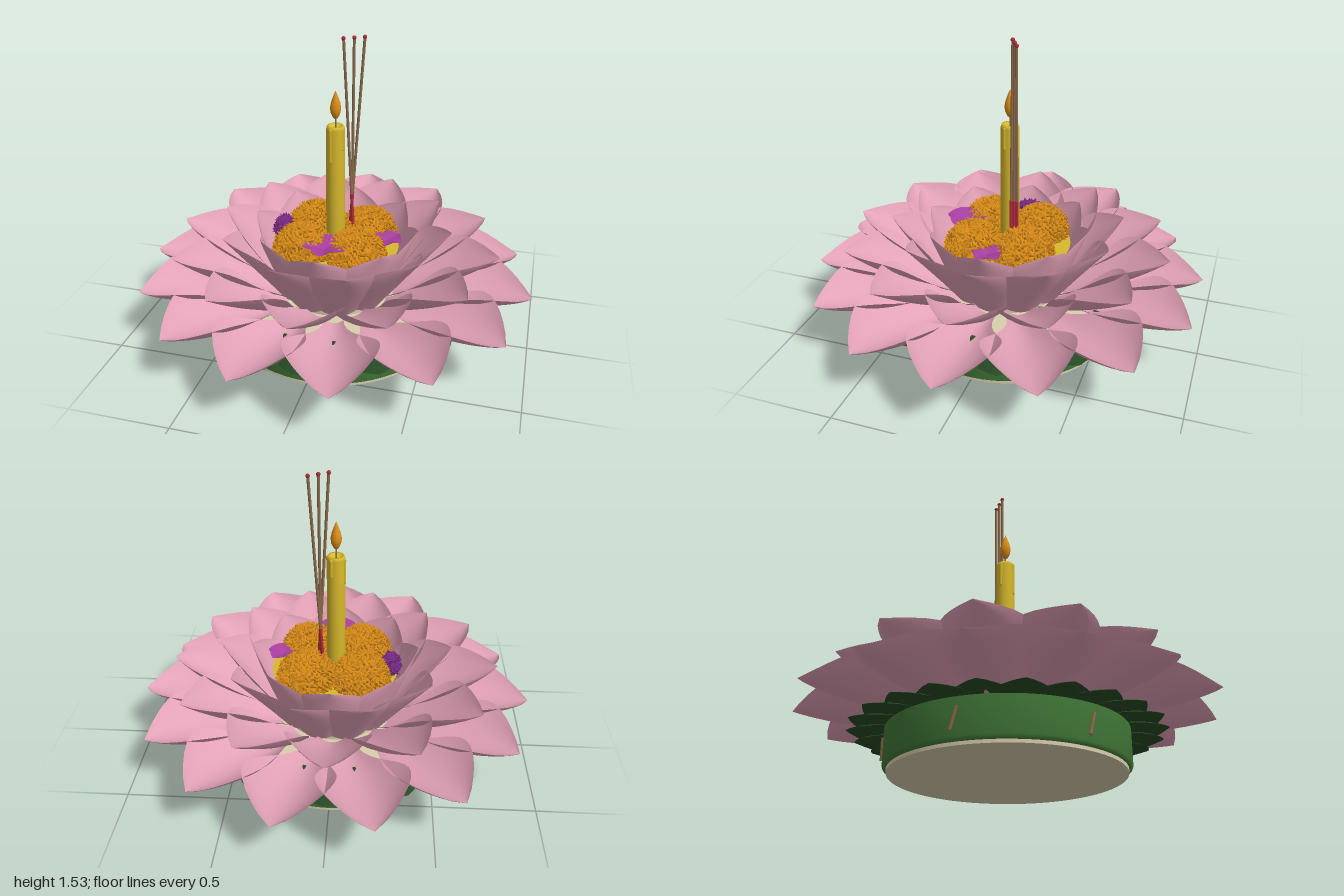
import * as THREE from 'three';
import { mergeGeometries } from 'three/addons/utils/BufferGeometryUtils.js';

const mat = (name, color, side = THREE.FrontSide) => {
  const m = new THREE.MeshStandardMaterial({ color, side });
  m.name = name;
  return m;
};

// Cupped, pointed petal growing along +x; root, belly and tip are [radius, height]
function petalGeometry({ root, belly, tip, width, cup, neck = 0.3, widest = 0.6 }) {
  const spine = new THREE.QuadraticBezierCurve(
    new THREE.Vector2(...root), new THREE.Vector2(...belly), new THREE.Vector2(...tip));
  const geo = new THREE.PlaneGeometry(1, 1, 16, 10);
  const pos = geo.attributes.position;
  for (let i = 0; i < pos.count; i++) {
    const u = pos.getX(i) + 0.5, v = pos.getY(i) * 2;
    const w = u < widest
      ? neck + (1 - neck) * THREE.MathUtils.smoothstep(u / widest, 0, 1)
      : Math.pow(Math.max(0, Math.cos(((u - widest) / (1 - widest)) * Math.PI / 2)), 0.85);
    const p = spine.getPoint(u), t = spine.getTangent(u);
    const lift = cup * Math.pow(w, 1.3) * v * v;
    pos.setXYZ(i, p.x - t.y * lift, p.y + t.x * lift, -v * w * width);
  }
  geo.computeVertexNormals();
  return geo;
}

function petalRing(name, count, material, shape, start = 0) {
  const ring = new THREE.Group();
  ring.name = name + 'Ring';
  const geo = petalGeometry(shape);
  for (let i = 0; i < count; i++) {
    const petal = new THREE.Mesh(geo, material);
    petal.name = name;
    petal.rotation.y = start + (i / count) * Math.PI * 2;
    ring.add(petal);
  }
  return ring;
}

// Ball covered in small ragged florets, spread by the golden angle
function floretBall(count, rx, ry, rz, size, seed) {
  let s = seed;
  const rand = () => (s = (s * 16807) % 2147483647) / 2147483647;
  const parts = [new THREE.SphereGeometry(1, 20, 14).scale(rx * 0.92, ry * 0.92, rz * 0.92)];
  const up = new THREE.Vector3(0, 1, 0), one = new THREE.Vector3(1, 1, 1);
  for (let i = 0; i < count; i++) {
    const y = 1 - (1.3 * (i + 0.5)) / count, r = Math.sqrt(1 - y * y), a = i * 2.39996;
    const n = new THREE.Vector3(r * Math.cos(a), y, r * Math.sin(a));
    const dir = n.clone().add(new THREE.Vector3(rand() - 0.5, rand() - 0.5, rand() - 0.5).multiplyScalar(1.6)).normalize();
    const m = new THREE.Matrix4().compose(
      new THREE.Vector3(n.x * rx, n.y * ry, n.z * rz).multiplyScalar(0.94 + rand() * 0.06),
      new THREE.Quaternion().setFromUnitVectors(up, dir), one);
    parts.push(new THREE.ConeGeometry(size * 0.6, size * (0.8 + rand() * 0.8), 4).applyMatrix4(m));
  }
  return mergeGeometries(parts);
}

export function createModel() {
  const root = new THREE.Group();
  root.name = 'floatingLotusLantern';
  const D = THREE.DoubleSide;
  const pink = mat('petalPink', 0xe2a1b7, D);
  const cream = mat('stemCream', 0xd9cfae);
  const green = mat('bandGreen', 0x3f7536, D);
  const darkGreen = mat('leafGreen', 0x274a24, D);
  const yellow = mat('waxYellow', 0xd8b92c);
  const orange = mat('marigoldOrange', 0xdd8e18);
  const magenta = mat('orchidMagenta', 0xa83fa0, D);
  const purple = mat('amaranthPurple', 0x7d2c88);
  const red = mat('incenseRed', 0xb32a3c);
  const brown = mat('stickBrown', 0x8c6b4c);

  const add = (name, geo, material, x = 0, y = 0, z = 0, parent = root) => {
    const mesh = new THREE.Mesh(geo, material);
    mesh.name = name;
    mesh.position.set(x, y, z);
    parent.add(mesh);
    return mesh;
  };
  const lathe = (pts, n = 32) => new THREE.LatheGeometry(pts.map(p => new THREE.Vector2(...p)), n);
  // Straight round rod between two points
  const rod = (name, a, b, r, material) => {
    const A = new THREE.Vector3(...a), B = new THREE.Vector3(...b);
    const m = add(name, new THREE.CylinderGeometry(r, r, A.distanceTo(B), 8), material);
    m.position.copy(A).lerp(B, 0.5);
    m.quaternion.setFromUnitVectors(new THREE.Vector3(0, 1, 0), B.sub(A).normalize());
  };

  // Base: cream trunk slice wrapped in a green leaf band, held by pins
  add('baseSlice', new THREE.CylinderGeometry(0.555, 0.55, 0.2, 64), cream, 0, 0.1, 0);
  add('leafBand', lathe([[0.552, 0.015], [0.57, 0.032], [0.57, 0.2], [0.556, 0.2]], 64), green);
  for (let i = 0; i < 6; i++) {
    const a = THREE.MathUtils.degToRad(13 + i * 60), r = 0.573, d = 0.025;
    rod('bandPin', [r * Math.cos(a + d), 0.06, r * Math.sin(a + d)],
      [r * Math.cos(a - d), 0.16, r * Math.sin(a - d)], 0.008, brown);
  }

  // Drooping leaf collar and four rings of petals
  root.add(petalRing('collarLeaf', 24, darkGreen,
    { root: [0.5, 0.222], belly: [0.62, 0.232], tip: [0.745, 0.2], width: 0.115, cup: -0.03, neck: 0.75, widest: 0.6 }));
  root.add(petalRing('outerPetal', 14, pink,
    { root: [0.34, 0.212], belly: [0.72, 0.225], tip: [1.0, 0.295], width: 0.215, cup: 0.135, neck: 0.22 }));
  root.add(petalRing('middlePetal', 12, pink,
    { root: [0.3, 0.215], belly: [0.58, 0.335], tip: [0.825, 0.5], width: 0.2, cup: 0.12, neck: 0.35 }));
  root.add(petalRing('innerPetal', 10, pink,
    { root: [0.29, 0.22], belly: [0.42, 0.4], tip: [0.585, 0.605], width: 0.19, cup: 0.085, neck: 0.5 }));
  root.add(petalRing('heartPetal', 8, pink,
    { root: [0.3, 0.28], belly: [0.355, 0.43], tip: [0.42, 0.595], width: 0.17, cup: 0.06, neck: 0.7 }));

  // Cream core with a yellow platform under the flowers
  add('flowerCore', new THREE.CylinderGeometry(0.27, 0.26, 0.25, 40), cream, 0, 0.325, 0);
  add('flowerPlatform', new THREE.CylinderGeometry(0.32, 0.31, 0.03, 48), yellow, 0, 0.455, 0);

  // Four marigolds
  [[-1, -1], [1, -1], [-1, 1], [1, 1]].forEach(([sx, sz], i) =>
    add('marigold', floretBall(480, 0.15, 0.14, 0.15, 0.024, 11 + i * 97), orange, sx * 0.135, 0.48, sz * 0.13));

  // Globe amaranth and two orchids tucked between the marigolds
  add('amaranth', floretBall(110, 0.045, 0.055, 0.075, 0.026, 5), purple, -0.285, 0.51, -0.03);
  for (const [x, y, z, s] of [[0, 0.55, 0.215, 1], [0.265, 0.525, 0.015, 0.75]]) {
    const orchid = petalRing('orchidPetal', 5, magenta,
      { root: [0, 0], belly: [0.06, 0.02], tip: [0.11, 0.02], width: 0.055, cup: 0.015, neck: 0.15 }, -Math.PI / 2);
    orchid.name = 'orchid';
    orchid.position.set(x, y, z);
    orchid.scale.setScalar(s);
    root.add(orchid);
  }

  // Candle with a hollowed top, wax drips, wick and flame
  const candle = new THREE.Group();
  candle.name = 'candle';
  candle.position.set(-0.005, 0, -0.01);
  root.add(candle);
  add('candleBody', lathe([[0, 0.46], [0.048, 0.46], [0.045, 1.09], [0.04, 1.105], [0.03, 1.105], [0.024, 1.092], [0, 1.09]]),
    yellow, 0, 0, 0, candle);
  for (const [deg, len] of [[110, 0.16], [20, 0.1], [200, 0.12], [300, 0.08]]) {
    const a = THREE.MathUtils.degToRad(deg);
    add('waxDrip', new THREE.CapsuleGeometry(0.008, len, 4, 8), yellow,
      0.043 * Math.cos(a), 1.09 - len / 2, 0.043 * Math.sin(a), candle);
  }
  add('wick', new THREE.CylinderGeometry(0.004, 0.004, 0.07, 6), brown, 0, 1.12, 0, candle);
  add('flame', lathe([[0, 1.135], [0.012, 1.145], [0.024, 1.17], [0.027, 1.195], [0.021, 1.225], [0.01, 1.255], [0, 1.28]], 16),
    orange, 0, 0, 0, candle);

  // Three incense sticks crossing low down and fanning out, with red feet and tips
  for (const k of [-1, 0, 1]) {
    const foot = new THREE.Vector3(0.068 - k * 0.014, 0.5, -0.055 - k * 0.012);
    const tip = new THREE.Vector3(0.072 + k * 0.045, 1.525, -0.057 - k * 0.024);
    const joint = foot.clone().lerp(tip, 0.23);
    rod('incenseFoot', foot.toArray(), joint.toArray(), 0.008, red);
    rod('incenseStick', joint.toArray(), tip.toArray(), 0.007, brown);
    add('incenseTip', new THREE.SphereGeometry(0.01, 10, 8), red, tip.x, tip.y, tip.z);
  }
  return root;
}
